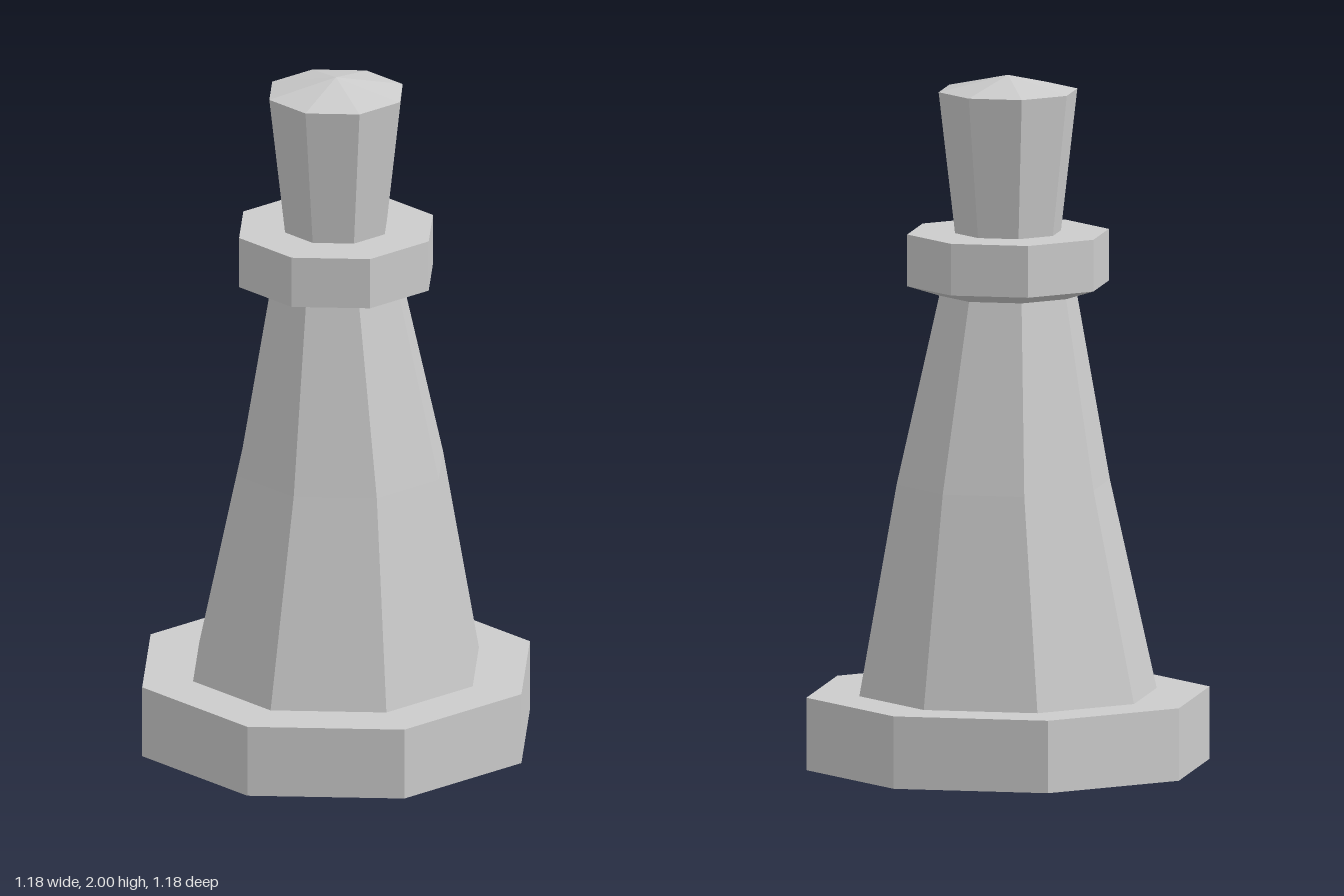
import * as THREE from 'three';

const SIDES = 8;

// Octagonal turned part from [radius, height] pairs, listed bottom to top
function turned(name, profile) {
  const points = profile.map(([r, y]) => new THREE.Vector2(r, y));
  const material = new THREE.MeshStandardMaterial({ color: 0xcccccc, flatShading: true });
  const mesh = new THREE.Mesh(new THREE.LatheGeometry(points, SIDES), material);
  mesh.name = name;
  return mesh;
}

export function createModel() {
  const group = new THREE.Group();
  group.name = 'octagonalPiece';

  const base = turned('base', [[0, 0], [0.59, 0], [0.59, 0.21], [0, 0.21]]);

  // Tapered body, its middle ring slightly off the axis
  const midY = 0.82;
  const body = turned('body', [[0.435, 0.21], [0.312, midY], [0.2, 1.37]]);
  const pos = body.geometry.attributes.position;
  for (let i = 0; i < pos.count; i++) {
    if (Math.abs(pos.getY(i) - midY) < 0.01) {
      pos.setX(i, pos.getX(i) + 0.01);
      pos.setZ(i, pos.getZ(i) - 0.01);
    }
  }
  body.geometry.computeVertexNormals();

  // Collar with a bevelled underside
  const collar = turned('collar', [[0, 1.365], [0.2, 1.365], [0.295, 1.395], [0.295, 1.545], [0, 1.545]]);

  // Flared head closed by a shallow point
  const head = turned('head', [[0.155, 1.545], [0.203, 1.955], [0, 2]]);

  group.add(base, body, collar, head);
  return group;
}
